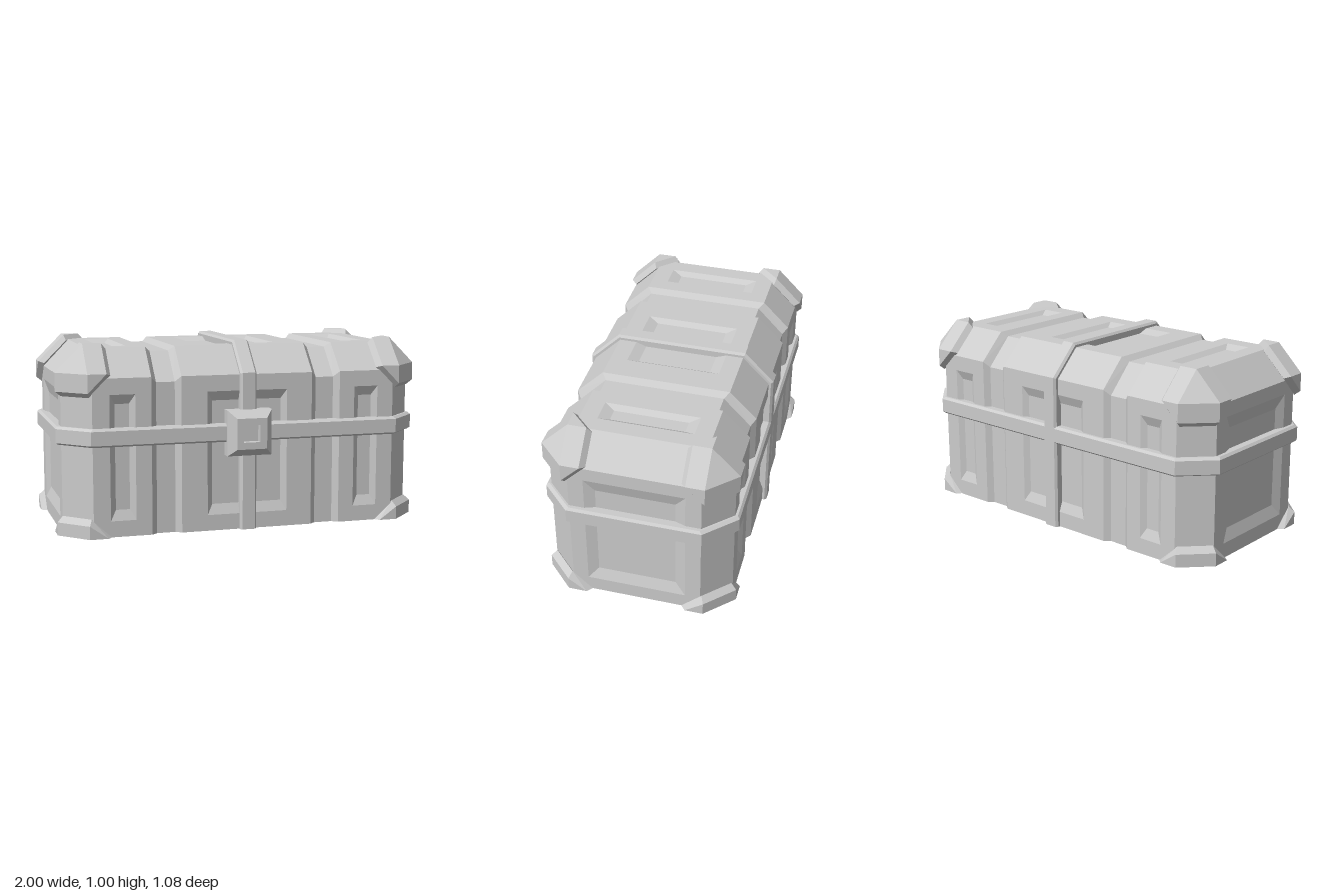
import * as THREE from 'three';
import { ConvexGeometry } from 'three/addons/geometries/ConvexGeometry.js';

const material = new THREE.MeshStandardMaterial({ color: 0xcccccc, flatShading: true });

function part(name, geometry) {
  const mesh = new THREE.Mesh(geometry, material);
  mesh.name = name;
  return mesh;
}

// Skins closed rings of [x, y, z, recessed?]; rings run counter-clockwise seen from the far end.
function loft(rings, capStart = false, capEnd = false) {
  const out = [];
  const tri = (...pts) => pts.forEach((p) => out.push(p[0], p[1], p[2]));
  const cap = (ring, flip) => {
    const mid = [0, 1, 2].map((k) => ring.reduce((s, p) => s + p[k], 0) / ring.length);
    ring.forEach((p, j) => {
      const q = ring[(j + 1) % ring.length];
      flip ? tri(mid, q, p) : tri(mid, p, q);
    });
  };
  for (let i = 0; i + 1 < rings.length; i++) {
    const n = rings[i].length;
    for (let j = 0; j < n; j++) {
      const k = (j + 1) % n;
      const a = rings[i][j], b = rings[i][k], c = rings[i + 1][k], d = rings[i + 1][j];
      // the diagonal follows the mitre of a recess corner
      if (!!a[3] !== !!c[3]) { tri(a, b, c); tri(a, c, d); }
      else { tri(a, b, d); tri(b, c, d); }
    }
  }
  if (capStart) cap(rings[0], true);
  if (capEnd) cap(rings[rings.length - 1], false);
  const g = new THREE.BufferGeometry();
  g.setAttribute('position', new THREE.Float32BufferAttribute(out, 3));
  g.computeVertexNormals();
  return g;
}

// Cross-section of the chest at x; d grows or shrinks it, r sinks the panel fields
const RECESS = 0.02;
function section(x, d, r = 0, end = false) {
  const hz = 0.487 + d;
  const top = end ? 0.83 : 0.975 + d;
  const brk = end ? 0.83 : 0.83 + d * (d > 0 ? 0.4 : 1.2);
  const ht = end ? hz : 0.342 + d * (d > 0 ? 0.4 : 1);
  const half = [
    [hz, 0], [hz, 0.085], [hz - r, 0.14, r], [hz - r, 0.695, r], [hz, 0.745],
    [hz, brk], [ht, top], [0.25, top], [0.195, top - r, r],
  ];
  const back = half.map(([z, y, f]) => [x, y, -z, f]);
  const front = half.map(([z, y, f]) => [x, y, z, f]).reverse();
  return [...back, ...front];
}

// Body with two grooves and three recessed fields per side
function bodyGeometry() {
  const G = -0.025;
  const half = [
    [0.19, 0, RECESS], [0.22, 0], [0.36, 0], [0.39, G], [0.49, G], [0.52, 0],
    [0.605, 0], [0.635, 0, RECESS], [0.71, 0, RECESS], [0.74, 0], [0.83, 0],
    [0.97, -0.142, 0, true],
  ];
  const mirrored = half.map(([x, ...rest]) => [-x, ...rest]).reverse();
  return loft([...mirrored, ...half].map((s) => section(...s)));
}

// Flat end wall with a recessed field
function endGeometry() {
  const rect = (x, z, y0, y1) => [[x, y0, -z], [x, y1, -z], [x, y1, z], [x, y0, z]];
  return loft([
    rect(0.97, 0.345, 0, 0.83),
    rect(0.97, 0.263, 0.08, 0.755),
    rect(0.97 - RECESS, 0.208, 0.145, 0.685),
  ], false, true);
}

// Eight-sided band around the chest
function bandGeometry() {
  const ring = (o, y) => {
    const X = 1 - o, Z = 0.512 - o, c = 0.158;
    return [
      [X - c, Z], [X, Z - c], [X, c - Z], [X - c, -Z],
      [c - X, -Z], [-X, c - Z], [-X, Z - c], [c - X, Z],
    ].map(([x, z]) => [x, y, z]);
  };
  return loft([
    ring(0.08, 0.477), ring(0.012, 0.477), ring(0, 0.487),
    ring(0, 0.561), ring(0.012, 0.573), ring(0.08, 0.573),
  ]);
}

// Square bevelled clasp with a square hole
function claspGeometry() {
  const square = (s, z) => [[s, -s, z], [s, s, z], [-s, s, z], [-s, -s, z]];
  return loft([
    square(0.122, 0.45), square(0.122, 0.522), square(0.082, 0.57),
    square(0.045, 0.57), square(0.045, 0.53),
  ], true, true);
}

// Corner caps: points given as distances in from the outer corner (x, y, z)
const S = 0.145, T = 0.243, L = 0.025, D = 0.03;
const upperCorner = [
  [S, S, 0], [0, S, S], [S, 0, S],
  [T, S, 0], [T, 0, S], [S, 0, T], [0, S, T], [0, T, S], [S, T, 0],
  [T + L, S + 0.01, D], [T + L, D, S + 0.01], [S + 0.01, D, T + L],
  [D, S + 0.01, T + L], [D, T + L, S + 0.01], [S + 0.01, T + L, D],
];
// Lower caps measure y down from the lid top as well, so 1 is the floor
const lowerCorner = [
  [S, 0.93, 0], [0, 0.93, S], [S, 1, 0], [0, 1, S], [T, 1, 0], [0, 1, T],
  [S + 0.015, 0.9, D], [D, 0.9, S + 0.015], [T + L, 1, D], [D, 1, T + L],
];
function cornerGeometry(points, sx, sz) {
  return new ConvexGeometry(points.map(([x, y, z]) =>
    new THREE.Vector3(sx * (1 - x), 1 - y, sz * (0.512 - z))));
}

export function createModel() {
  const chest = new THREE.Group();
  chest.name = 'chest';

  chest.add(part('body', bodyGeometry()));
  for (const side of [0, 1]) {
    const end = part(side ? 'rightEnd' : 'leftEnd', endGeometry());
    end.rotation.y = side * Math.PI;
    chest.add(end);
  }

  // Bevelled strap running over the middle of the lid
  chest.add(part('centreStrap', loft([
    section(-0.045, -0.04), section(-0.045, 0.013), section(-0.034, 0.025),
    section(0.034, 0.025), section(0.045, 0.013), section(0.045, -0.04),
  ])));
  chest.add(part('band', bandGeometry()));

  const clasp = part('clasp', claspGeometry());
  clasp.position.y = 0.524;
  chest.add(clasp);

  for (const sx of [1, -1]) for (const sz of [1, -1]) {
    const where = (sz > 0 ? 'Front' : 'Back') + (sx > 0 ? 'Left' : 'Right');
    chest.add(part('upperCorner' + where, cornerGeometry(upperCorner, sx, sz)));
    chest.add(part('lowerCorner' + where, cornerGeometry(lowerCorner, sx, sz)));
  }

  // the clasp stands proud, so the chest sits slightly back
  chest.position.z = -0.03;
  const model = new THREE.Group();
  model.name = 'model';
  model.add(chest);
  return model;
}
